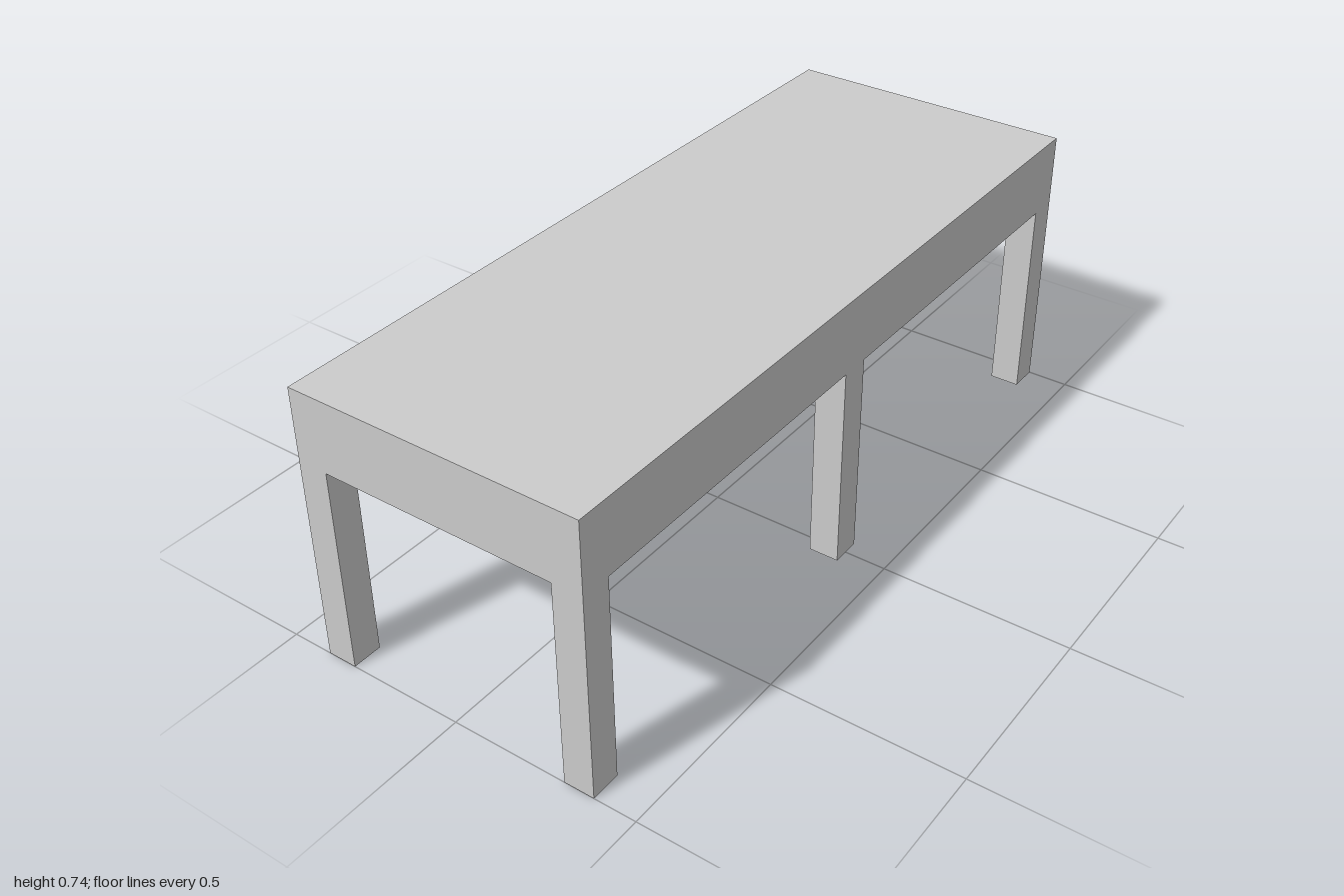
import * as THREE from 'three';

const WIDTH = 0.778, LENGTH = 2, HEIGHT = 0.738;
const LEG = 0.08, LEG_HEIGHT = 0.548;

export function createModel() {
  const table = new THREE.Group();
  table.name = 'table';
  const material = new THREE.MeshStandardMaterial({ color: 0xcccccc, flatShading: true });

  // Thick solid top
  const thickness = HEIGHT - LEG_HEIGHT;
  const top = new THREE.Mesh(new THREE.BoxGeometry(WIDTH, thickness, LENGTH), material);
  top.name = 'tableTop';
  top.position.y = LEG_HEIGHT + thickness / 2;
  table.add(top);

  // Three pairs of square legs, flush with the sides and ends
  const legGeometry = new THREE.BoxGeometry(LEG, LEG_HEIGHT, LEG);
  const rows = { back: -1, middle: 0, front: 1 };
  for (const [row, end] of Object.entries(rows)) {
    for (const side of [-1, 1]) {
      const leg = new THREE.Mesh(legGeometry, material);
      leg.name = `${row}${side > 0 ? 'Left' : 'Right'}Leg`;
      leg.position.set(side * (WIDTH - LEG) / 2, LEG_HEIGHT / 2, end * (LENGTH - LEG) / 2);
      table.add(leg);
    }
  }
  return table;
}
